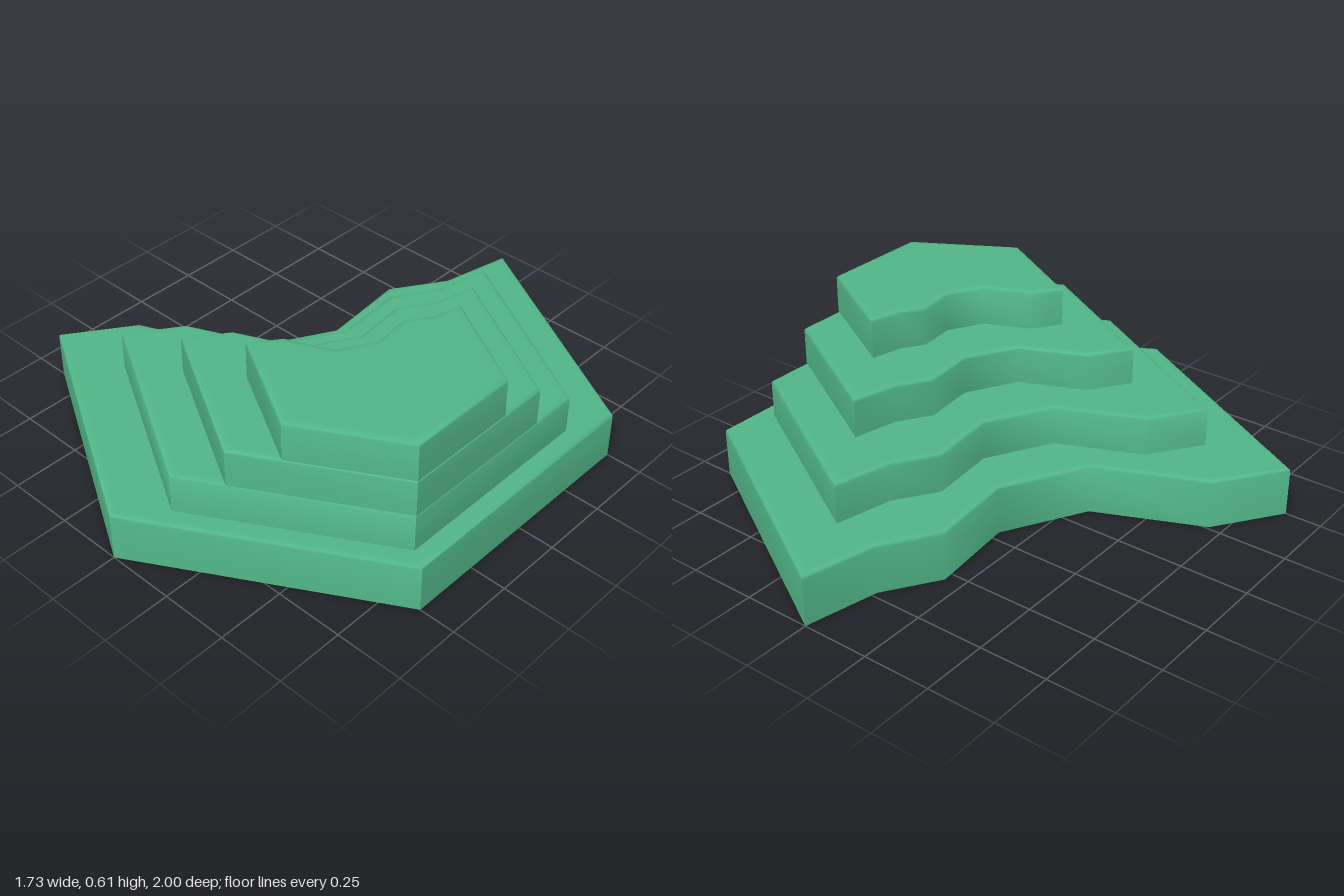
import * as THREE from 'three';
import { toCreasedNormals } from 'three/addons/utils/BufferGeometryUtils.js';

// Footprint in x, z: four sides of a hexagon, then a ragged eroded edge
const OUTLINE = [
  [0, -1], [0.866, -0.5], [0.866, 0.5], [0, 1], [-0.866, 0.5],
  [-0.7, 0.26], [-0.315, 0.09], [-0.15, -0.21], [-0.183, -0.537], [-0.058, -0.73],
].map(([x, z]) => new THREE.Vector2(x, z));

// Move every side of the outline inwards by d, keeping mitred corners
function inset(points, d) {
  const n = points.length;
  const inward = (a, b) => new THREE.Vector2(a.y - b.y, b.x - a.x).normalize();
  return points.map((p, i) => {
    const n1 = inward(points[(i + n - 1) % n], p);
    const n2 = inward(p, points[(i + 1) % n]);
    const k = d / (1 + n1.dot(n2));
    return p.clone().addScaledVector(n1, k).addScaledVector(n2, k);
  });
}

// Slab with a sharp base and a rounded top rim
function slabGeometry(points, height, r) {
  const n = points.length;
  const rings = [[0, 0]];
  for (let i = 0; i <= 3; i++) {
    const a = (i / 3) * Math.PI / 2;
    rings.push([r * (1 - Math.cos(a)), height - r + r * Math.sin(a)]);
  }
  rings.push([r * 2.5, height]);

  const positions = [];
  const index = [];
  for (const [d, y] of rings) {
    for (const p of inset(points, d)) positions.push(p.x, y, p.y);
  }

  // Walls and rim
  for (let k = 0; k < rings.length - 1; k++) {
    for (let i = 0; i < n; i++) {
      const j = (i + 1) % n;
      const a = k * n + i, b = k * n + j;
      index.push(a, a + n, b + n, a, b + n, b);
    }
  }

  // Underside and top
  const cap = (start, up) => {
    const at = (i) => new THREE.Vector2(positions[(start + i) * 3], positions[(start + i) * 3 + 2]);
    const ring = points.map((_, i) => at(i));
    for (const [a, b, c] of THREE.ShapeUtils.triangulateShape(ring, [])) {
      const turn = ring[b].clone().sub(ring[a]).cross(ring[c].clone().sub(ring[a]));
      if ((turn < 0) === up) index.push(start + a, start + b, start + c);
      else index.push(start + a, start + c, start + b);
    }
  };
  cap(0, false);
  cap((rings.length - 1) * n, true);

  const geometry = new THREE.BufferGeometry();
  geometry.setAttribute('position', new THREE.Float32BufferAttribute(positions, 3));
  geometry.setIndex(index);
  return toCreasedNormals(geometry, THREE.MathUtils.degToRad(45));
}

export function createModel() {
  const model = new THREE.Group();
  model.name = 'terracedHill';
  const material = new THREE.MeshStandardMaterial({ color: 0x52b788 });

  // Each terrace: scale of the footprint, its centre, bottom and top
  const terraces = [
    { name: 'baseTerrace', scale: 1, x: 0, z: 0, y0: 0, y1: 0.183 },
    { name: 'secondTerrace', scale: 0.78, x: 0.125, z: 0.07, y0: 0.183, y1: 0.327 },
    { name: 'thirdTerrace', scale: 0.598, x: 0.283, z: 0.16, y0: 0.327, y1: 0.468 },
    { name: 'topTerrace', scale: 0.417, x: 0.44, z: 0.251, y0: 0.468, y1: 0.611 },
  ];
  for (const t of terraces) {
    const points = OUTLINE.map((p) => p.clone().multiplyScalar(t.scale));
    const mesh = new THREE.Mesh(slabGeometry(points, t.y1 - t.y0, 0.011), material);
    mesh.name = t.name;
    mesh.position.set(t.x, t.y0, t.z);
    model.add(mesh);
  }
  return model;
}
